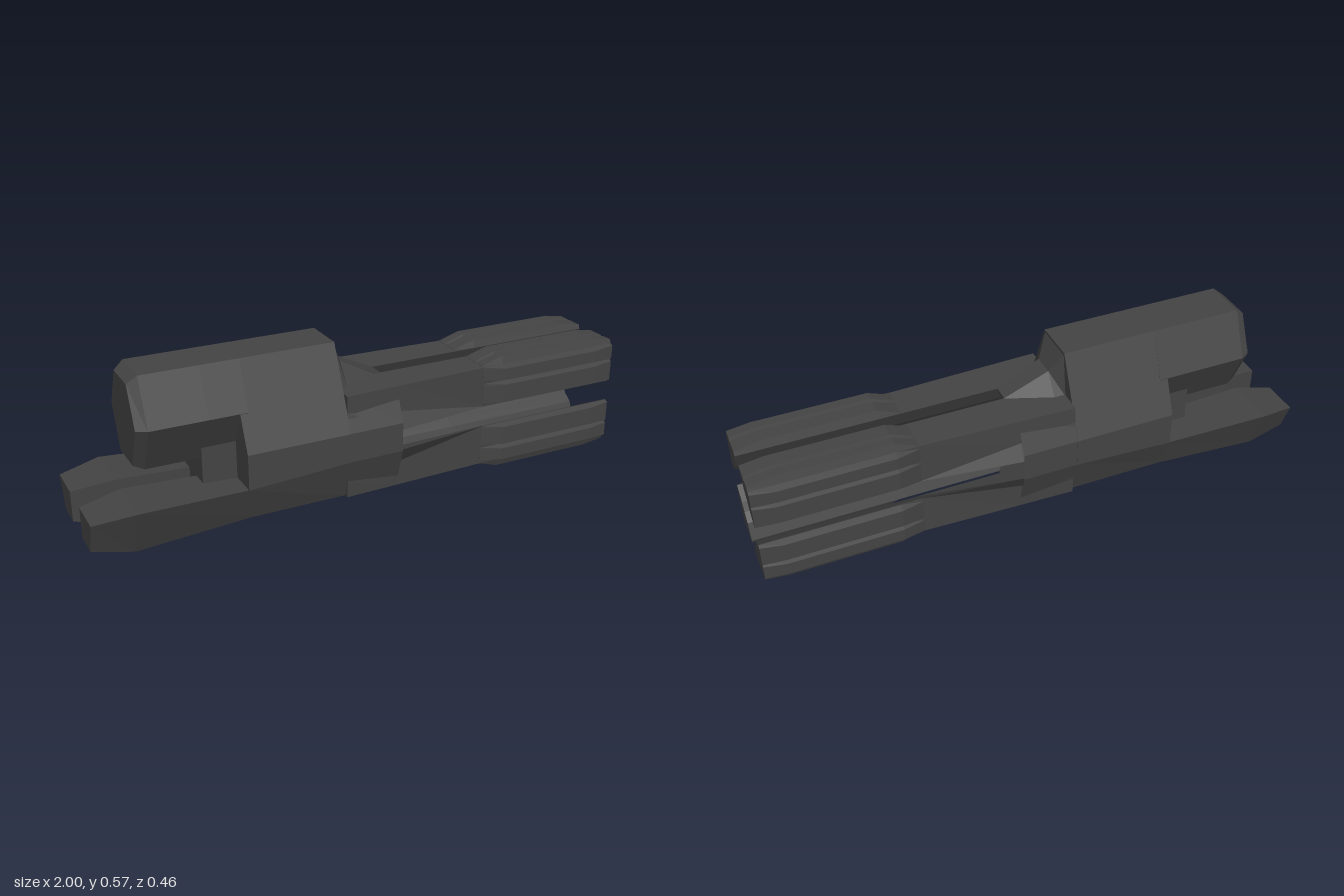
import * as THREE from 'three';

const MID = 0.2175; // height about which the four front prongs mirror
const material = new THREE.MeshStandardMaterial({ color: 0x444444, flatShading: true });

// Skin a closed solid along x; rows are [x, [[y, z], ...]]
function loft(name, rows) {
  const v2 = (pts) => pts.map(([y, z]) => new THREE.Vector2(y, z));
  if (THREE.ShapeUtils.isClockWise(v2(rows[0][1]))) {
    rows = rows.map(([x, pts]) => [x, [...pts].reverse()]);
  }
  const pos = [];
  const put = (r, i) => {
    const [x, pts] = rows[r];
    const p = pts[i % pts.length];
    pos.push(x, p[0], p[1]);
  };
  const n = rows[0][1].length;
  const last = rows.length - 1;
  for (let r = 0; r < last; r++) {
    for (let i = 0; i < n; i++) {
      put(r, i); put(r, i + 1); put(r + 1, i + 1);
      put(r, i); put(r + 1, i + 1); put(r + 1, i);
    }
  }
  for (const [r, flip] of [[0, true], [last, false]]) {
    for (const [a, b, c] of THREE.ShapeUtils.triangulateShape(v2(rows[r][1]), [])) {
      put(r, a); put(r, flip ? c : b); put(r, flip ? b : c);
    }
  }
  const geometry = new THREE.BufferGeometry();
  geometry.setAttribute('position', new THREE.Float32BufferAttribute(pos, 3));
  geometry.computeVertexNormals();
  const mesh = new THREE.Mesh(geometry, material);
  mesh.name = name;
  return mesh;
}

// Complete a half outline (z >= 0, top to bottom) with its mirror image
const both = (half) => [...half, ...[...half].reverse().map(([y, z]) => [y, -z])];

// One front prong with its four raised strips; sy and sz choose the quadrant
function frontProng(sy, sz) {
  const group = new THREE.Group();
  group.name = 'frontProng';
  const place = (rows) => rows.map(([x, pts]) => [x, pts.map(([y, z]) => [MID + sy * (y - MID), sz * z])]);
  const inner = [[0.405, 0.03], [0.345, 0.055], [0.32, 0.087], [0.29, 0.105]];
  const section = (ridge, mid, top) => [...inner, ridge, mid, top];
  const end = section([0.255, 0.157], [0.2551, 0.157], [0.405, 0.157]);
  group.add(loft('prongBeam', place([
    [-0.11, section([0.255, 0.203], [0.345, 0.179], [0.405, 0.177])],
    [0.09, section([0.255, 0.203], [0.313, 0.172], [0.405, 0.17])],
    [0.45, end],
    [1, end],
  ])));

  // Strips rise from the beam, run level, then dip at the tip
  const strip = (name, lo, hi, height, at) => {
    const cut = (h, pinch) => [
      at(lo, -0.004), at(hi, -0.004), at(hi, 0), at(hi - pinch, h), at(lo + pinch, h), at(lo, 0),
    ];
    group.add(loft(name, place([
      [0.44, cut(0.001, 0.012)], [0.52, cut(height, 0.009)],
      [0.92, cut(height, 0.009)], [1, cut(height * 0.5, 0.005)],
    ])));
  };
  const onTop = (t, h) => [0.405 + h, t];
  const onSide = (t, h) => [t, 0.157 + h];
  strip('topStrip', 0.032, 0.104, 0.029, onTop);
  strip('topStrip', 0.104, 0.157, 0.029, onTop);
  strip('sideStrip', 0.343, 0.405, 0.023, onSide);
  strip('sideStrip', 0.258, 0.343, 0.023, onSide);
  return group;
}

// One rear prong, a tapered beam flaring outward at the top
function rearProng(sz) {
  const section = (top, bottom, outer, foot, inner) => [
    [top, inner], [top, outer], [bottom, foot], [bottom, inner],
  ].map(([y, z]) => [y, sz * z]);
  return loft('rearProng', [
    [-1, section(0.15, 0.04, 0.2, 0.16, 0.06)],
    [-0.86, section(0.172, 0.01, 0.23, 0.17, 0.035)],
    [-0.46, section(0.155, 0.03, 0.203, 0.16, 0.035)],
  ]);
}

export function createModel() {
  const model = new THREE.Group();
  model.name = 'spacecraft';

  // Main hull with sloping sides
  const hull = (edge) => both([[0.567, 0.08], [0.28, 0.205], [edge, 0.205], [0.03, 0.16]]);
  model.add(loft('mainHull', [[-0.48, hull(0.155)], [-0.11, hull(0.175)]]));

  // Front hull, folding inward into a square stepped nozzle
  const square = (s, lo, hi) => both([[hi, s], [hi * 0.7 + lo * 0.3, s], [hi * 0.3 + lo * 0.7, s], [lo, s]]);
  model.add(loft('nozzleHull', [
    [-0.12, both([[0.405, 0.15], [0.28, 0.204], [0.175, 0.204], [0.03, 0.16]])],
    [0.09, both([[0.405, 0.15], [0.28, 0.204], [0.175, 0.204], [0.03, 0.16]])],
    [0.03, square(0.087, 0.113, 0.32)],
    [0, square(0.053, 0.157, 0.278)],
    [-0.06, square(0.038, 0.173, 0.262)],
  ]));

  // Ramp from the top of the hull down to the front prongs
  model.add(loft('topRamp', [
    [-0.115, both([[0.567, 0.08], [0.39, 0.105]])],
    [-0.07, both([[0.48, 0.04], [0.39, 0.104]])],
    [0.09, both([[0.406, 0.031], [0.39, 0.032]])],
  ]));

  // Overhanging head with a bevelled rear end
  const head = both([[0.567, 0.08], [0.405, 0.152], [0.245, 0.08]]);
  const headEnd = both([[0.54, 0.068], [0.405, 0.132], [0.26, 0.068]]);
  model.add(loft('head', [[-0.82, headEnd], [-0.785, head], [-0.585, head], [-0.45, head]]));

  // Neck under the head, between the rear prongs
  const neck = new THREE.Mesh(new THREE.BoxGeometry(0.14, 0.25, 0.2), material);
  neck.name = 'neck';
  neck.position.set(-0.53, 0.175, 0);
  model.add(neck);

  for (const sz of [1, -1]) {
    model.add(rearProng(sz));
    for (const sy of [1, -1]) model.add(frontProng(sy, sz));
  }
  return model;
}
